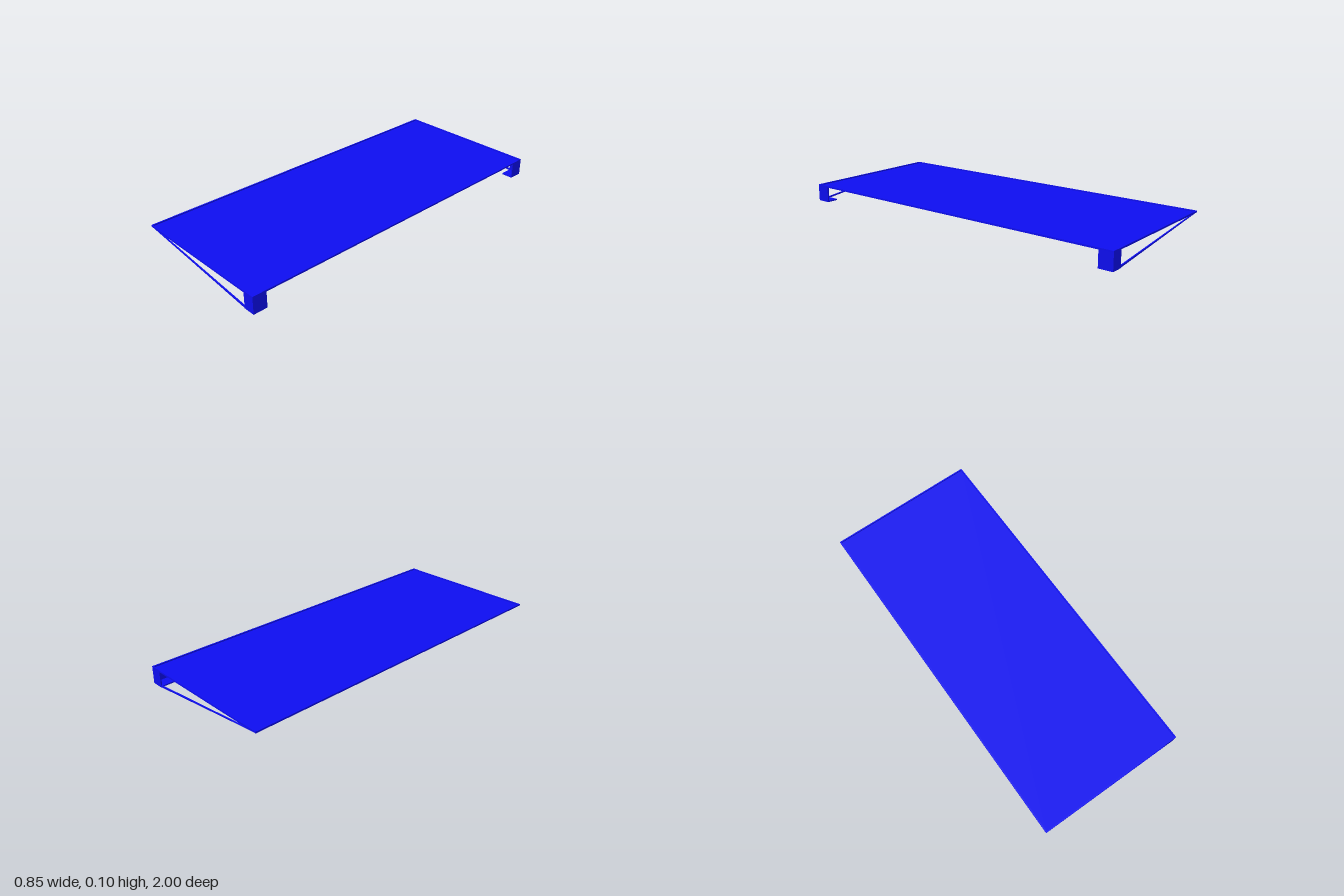
import * as THREE from 'three';

const W = 0.848, L = 2, TOP = 0.097, UNDER = 0.088, T = 0.007;
const blue = new THREE.MeshStandardMaterial({ color: 0x0d0df0 });

// Box given by its minimum and maximum corners
function box(name, min, max) {
  const size = max.map((v, i) => v - min[i]);
  const mesh = new THREE.Mesh(new THREE.BoxGeometry(...size), blue);
  mesh.position.set(...max.map((v, i) => (v + min[i]) / 2));
  mesh.name = name;
  return mesh;
}

// Shallow tray: thin floor with a low lip all round
function createTray() {
  const tray = new THREE.Group();
  tray.name = 'tray';
  const x = W / 2, z = L / 2;
  tray.add(box('floor', [-x, UNDER, -z], [x, UNDER + 0.002, z]));
  for (const s of [-1, 1]) {
    const xs = [s * x, s * (x - T)].sort((a, b) => a - b);
    const zs = [s * z, s * (z - T)].sort((a, b) => a - b);
    tray.add(box('sideLip', [xs[0], UNDER, -z], [xs[1], TOP, z]));
    tray.add(box('endLip', [-x + T, UNDER, zs[0]], [x - T, TOP, zs[1]]));
  }
  return tray;
}

// Open corner leg (two walls and a foot) with a sloping strut, at one end
function createLeg(s) {
  const leg = new THREE.Group();
  leg.name = s > 0 ? 'frontLeg' : 'backLeg';
  const x0 = 0.358, x1 = W / 2;
  const span = (a, b) => [s * a, s * b].sort((p, q) => p - q);
  const [a0, a1] = span(0.922, 1), [e0, e1] = span(1 - T, 1);
  leg.add(box('sideWall', [x1 - T, 0, a0], [x1, UNDER, a1]));
  leg.add(box('endWall', [x0, 0, e0], [x1 - T, UNDER, e1]));
  const [f0, f1] = span(0.922, 1 - T);
  leg.add(box('foot', [x0, 0, f0], [x1 - T, T, f1]));

  // Strut runs from the foot up to the far edge of the tray
  const shape = new THREE.Shape([
    [x0, 0.002], [x0, 0.011], [-0.385, UNDER + 0.002], [-0.42, UNDER + 0.002],
  ].map(p => new THREE.Vector2(...p)));
  const strut = new THREE.Mesh(
    new THREE.ExtrudeGeometry(shape, { depth: T, bevelEnabled: false }), blue);
  strut.position.z = e0;
  strut.name = 'strut';
  leg.add(strut);
  return leg;
}

export function createModel() {
  const model = new THREE.Group();
  model.name = 'trayStand';
  model.add(createTray(), createLeg(1), createLeg(-1));
  return model;
}
